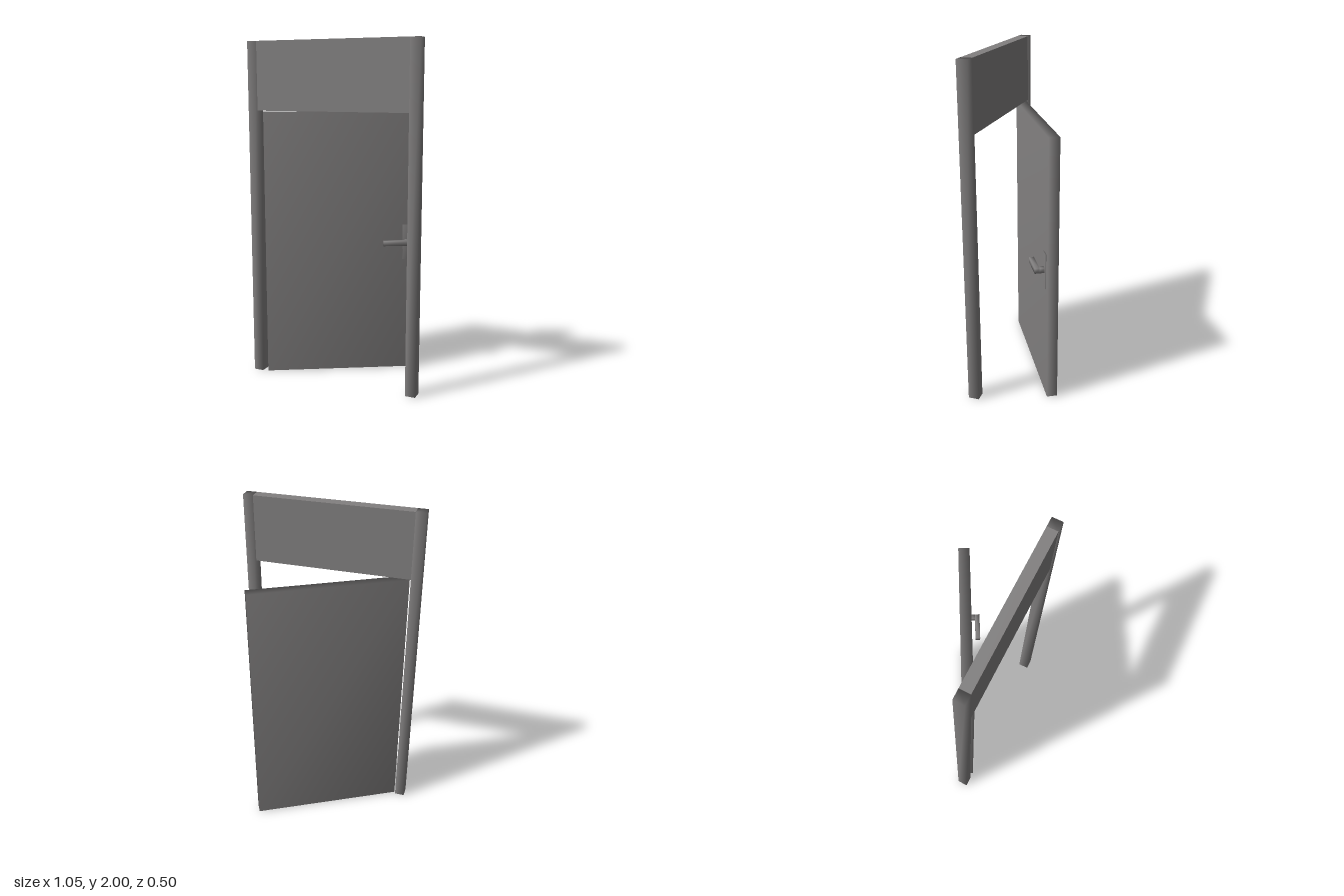
import * as THREE from 'three';
import { mergeVertices } from 'three/addons/utils/BufferGeometryUtils.js';

const grey = new THREE.MeshStandardMaterial({ color: 0x828080 });
grey.name = 'warm grey';

// Box between two corners; smooth boxes share their corner normals.
function box(name, [x0, y0, z0], [x1, y1, z1], smooth = true) {
  let geometry = new THREE.BoxGeometry(x1 - x0, y1 - y0, z1 - z0);
  if (smooth) {
    geometry.deleteAttribute('normal');
    geometry.deleteAttribute('uv');
    geometry = mergeVertices(geometry);
    geometry.computeVertexNormals();
  }
  const mesh = new THREE.Mesh(geometry, grey);
  mesh.name = name;
  mesh.position.set((x0 + x1) / 2, (y0 + y1) / 2, (z0 + z1) / 2);
  return mesh;
}

export function createModel() {
  const model = new THREE.Group();
  model.name = 'openDoor';

  // Frame: two posts and the panel above the opening
  const frame = new THREE.Group();
  frame.name = 'doorFrame';
  frame.add(
    box('rightPost', [-0.526, 0, 0.186], [-0.466, 2, 0.25]),
    box('leftPost', [0.466, 0, 0.186], [0.526, 2, 0.25]),
    box('overheadPanel', [-0.466, 1.603, 0.186], [0.466, 2, 0.25], false)
  );

  // Leaf swung open towards the back, about its own middle
  const door = new THREE.Group();
  door.name = 'door';
  door.position.set(-0.036, 0, 0);
  door.rotation.y = THREE.MathUtils.degToRad(28.7);
  door.add(box('doorLeaf', [-0.465, 0.004, -0.031], [0.465, 1.596, 0.031]));

  // Handle on the front face
  const handle = new THREE.Group();
  handle.name = 'doorHandle';
  handle.add(
    box('handlePlate', [0.365, 0.70, 0.029], [0.423, 0.915, 0.037]),
    box('handleStem', [0.376, 0.795, 0.035], [0.407, 0.825, 0.066]),
    box('handleLever', [0.241, 0.795, 0.064], [0.407, 0.825, 0.094])
  );
  door.add(handle);

  model.add(frame, door);
  return model;
}
